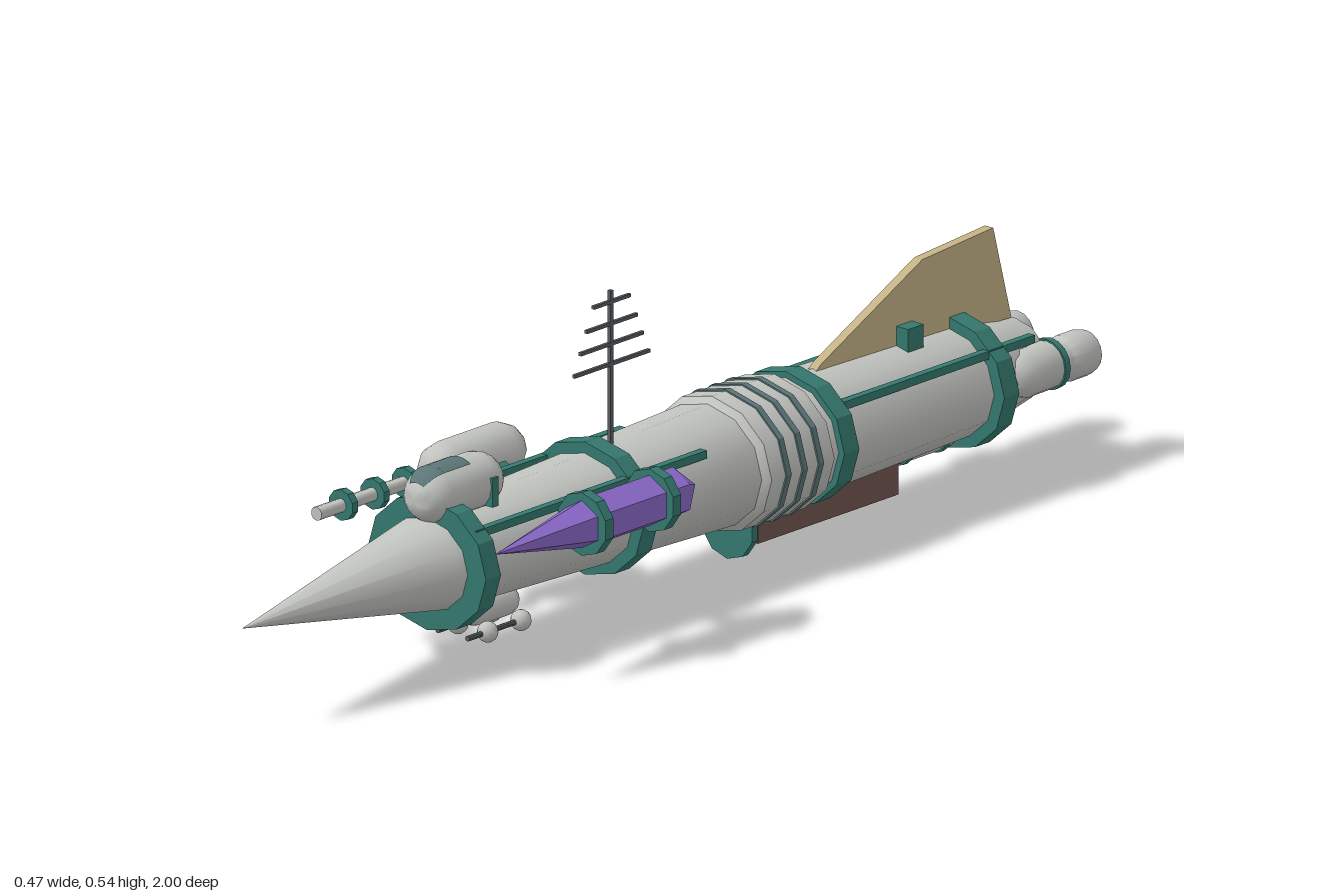
import * as THREE from 'three';
import { toCreasedNormals } from 'three/addons/utils/BufferGeometryUtils.js';

const mat = (name, color) => Object.assign(new THREE.MeshStandardMaterial({ color }), { name });

export function createModel() {
  const grey = mat('hull grey', 0xc2c4c0);
  const teal = mat('trim teal', 0x35796f);
  const purple = mat('pod purple', 0x8a68c8);
  const tan = mat('fin tan', 0xc4b286);
  const brown = mat('cargo brown', 0x705450);
  const slate = mat('slate', 0x5c7678);
  const dark = mat('mast grey', 0x565c60);

  const ship = new THREE.Group();
  ship.name = 'spaceship';
  const CX = -0.005, CY = 0.175, SQUASH = 0.88;

  const add = (name, geo, material, x = 0, y = 0, z = 0, parent = ship) => {
    const m = new THREE.Mesh(geo, material);
    m.name = name;
    m.position.set(x, y, z);
    parent.add(m);
    return m;
  };
  const box = (name, material, w, h, d, x, y, z) =>
    add(name, new THREE.BoxGeometry(w, h, d), material, x, y, z);

  // Solid of revolution about z; profile is [z, radius] from back to front
  const turned = (profile, sides, crease = 0.6) =>
    toCreasedNormals(new THREE.LatheGeometry(
      profile.map(([z, r]) => new THREE.Vector2(r, z)), sides).rotateX(Math.PI / 2), crease);
  const disc = (r, depth, sides, crease = 0.1) =>
    turned([[-depth / 2, 0], [-depth / 2, r], [depth / 2, r], [depth / 2, 0]], sides, crease);
  const capsule = (r, length, sides) =>
    toCreasedNormals(new THREE.CapsuleGeometry(r, length - 2 * r, 6, sides).rotateX(Math.PI / 2), 0.8);

  // Hull with a swollen middle and a long pointed nose
  add('hull', turned([
    [-0.905, 0], [-0.905, 0.08], [-0.76, 0.108], [-0.4, 0.117], [-0.325, 0.119],
    [-0.315, 0.133], [-0.16, 0.133], [-0.15, 0.12], [0.14, 0.109], [0.53, 0.093],
    [0.56, 0.088], [1, 0]], 12).scale(1, SQUASH, 1), grey, CX, CY);

  // Collars round the hull and thin ribs on the swollen part
  for (const z of [0.525, 0.135, -0.36, -0.755])
    add('hullCollar', disc(0.131, 0.037, 12).scale(1, SQUASH, 1), teal, CX, CY, z);
  for (const z of [-0.2, -0.24, -0.28])
    add('hullRib', disc(0.136, 0.012, 12).scale(1, SQUASH, 1), slate, CX, CY, z);

  // Long rails on both shoulders
  for (const s of [-1, 1]) {
    box('frontRail', teal, 0.014, 0.014, 0.57, CX + s * 0.09, 0.242, 0.245);
    box('rearRail', teal, 0.014, 0.014, 0.47, CX + s * 0.09, 0.242, -0.615);
  }

  // Twin engines
  for (const s of [-1, 1]) {
    const x = CX + s * 0.075;
    add('engine', turned([
      [-1, 0], [-1, 0.036], [-0.985, 0.04], [-0.945, 0.04], [-0.935, 0.034], [-0.91, 0.034],
      [-0.905, 0.041], [-0.84, 0.042], [-0.815, 0.034], [-0.8, 0.018], [-0.795, 0]], 16),
      grey, x, 0.18);
    add('engineBand', disc(0.044, 0.012, 16, 0.6), teal, x, 0.18, -0.908);
  }

  // Tail fin and the small block beside it
  const fin = new THREE.Shape([[0.4, 0.27], [0.42, 0.285], [0.67, 0.405], [0.845, 0.417], [0.89, 0.25]]
    .map(([z, y]) => new THREE.Vector2(z, y)));
  add('tailFin', new THREE.ExtrudeGeometry(fin, { depth: 0.018, bevelEnabled: false })
    .translate(0, 0, -0.009).rotateY(Math.PI / 2), tan, CX);
  box('finBlock', teal, 0.07, 0.04, 0.038, CX, 0.285, -0.625);

  // Cockpit capsule with a wrapped window
  add('cockpit', capsule(0.048, 0.2, 16), grey, CX, 0.292, 0.477);
  box('cockpitClamp', teal, 0.101, 0.05, 0.015, CX, 0.282, 0.43);
  const window = new THREE.Group();
  window.name = 'cockpitWindow';
  window.position.set(CX, 0.292, 0.529);
  ship.add(window);
  const glassR = 0.0495, halfArc = 0.55;
  add('windowRoof', new THREE.CylinderGeometry(glassR, glassR, 0.065, 8, 1, true,
    Math.PI - halfArc, 2 * halfArc).rotateX(Math.PI / 2), slate, 0, 0, -0.0325, window);
  add('windowFront', new THREE.SphereGeometry(glassR, 8, 6, Math.PI / 2 - halfArc, 2 * halfArc,
    Math.PI * 0.25, Math.PI * 0.25).rotateX(-Math.PI / 2), slate, 0, 0, 0, window).visible = false;
  window.remove(window.children[1]);
  // Rounded front end of the window, swept from the roof downwards
  const cap = new THREE.SphereGeometry(glassR, 6, 8, Math.PI / 2 - halfArc, 2 * halfArc,
    Math.PI * 0.2, Math.PI * 0.3);
  // sphere pole turned to +z, its front meridian turned to the top
  add('windowFront', cap.rotateX(Math.PI / 2).rotateZ(Math.PI), slate, 0, 0, 0, window);

  // Gun pod on the right side
  const GX = -0.188, GY = 0.238;
  add('gunPod', capsule(0.047, 0.225, 10).applyMatrix4(new THREE.Matrix4()), grey, GX, GY, 0.228);
  add('gunBarrel', disc(0.012, 0.29, 10, 0.7), grey, GX, GY, 0.467);
  for (const z of [0.39, 0.467, 0.545])
    add('barrelRing', disc(0.027, 0.014, 10), teal, GX, GY, z);

  // Faceted pod on the left side
  const PX = 0.178, PY = 0.24;
  add('sidePod', turned([[0.085, 0], [0.14, 0.044], [0.35, 0.044], [0.58, 0]], 6, 0.1), purple, PX, PY);
  for (const z of [0.188, 0.355])
    add('podRing', disc(0.055, 0.02, 10), teal, PX, PY, z);

  // Struts joining both pods to the hull
  for (const s of [-1, 1])
    box('podStrut', teal, 0.085, 0.026, 0.026, CX + s * 0.125, 0.221, 0.212).rotation.z = s * 0.3;

  // Antenna mast with crossbars
  box('mast', dark, 0.007, 0.27, 0.007, CX, 0.403, 0.09);
  [[0.518, 0.09], [0.48, 0.125], [0.445, 0.155], [0.41, 0.186]].forEach(([y, len]) =>
    box('mastBar', dark, 0.006, 0.006, len, CX, y, 0.088));

  // Belly turret: body, four balls and two barrels
  add('turretBody', capsule(0.027, 0.125, 12), grey, CX, 0.066, 0.39);
  for (const s of [-1, 1]) {
    const x = CX + s * 0.033;
    for (const z of [0.348, 0.43])
      add('turretBall', new THREE.SphereGeometry(0.018, 12, 8), grey, x, 0.036, z);
    add('turretBarrel', disc(0.005, 0.14, 8, 0.9), dark, x, 0.036, 0.41);
  }
  box('turretMount', teal, 0.03, 0.03, 0.05, CX, 0.088, 0.39);

  // Cargo box under the hull with its front shield
  box('cargoBox', brown, 0.08, 0.07, 0.347, CX, 0.062, -0.403);
  add('cargoShield', disc(0.058, 0.014, 10), teal, CX, 0.058, -0.205);

  // Belly tank behind the cargo box
  add('bellyTank', capsule(0.03, 0.17, 12), grey, CX, 0.092, -0.67);
  for (const z of [-0.62, -0.71])
    add('tankBand', disc(0.033, 0.012, 12, 0.6), teal, CX, 0.092, z);

  return ship;
}
